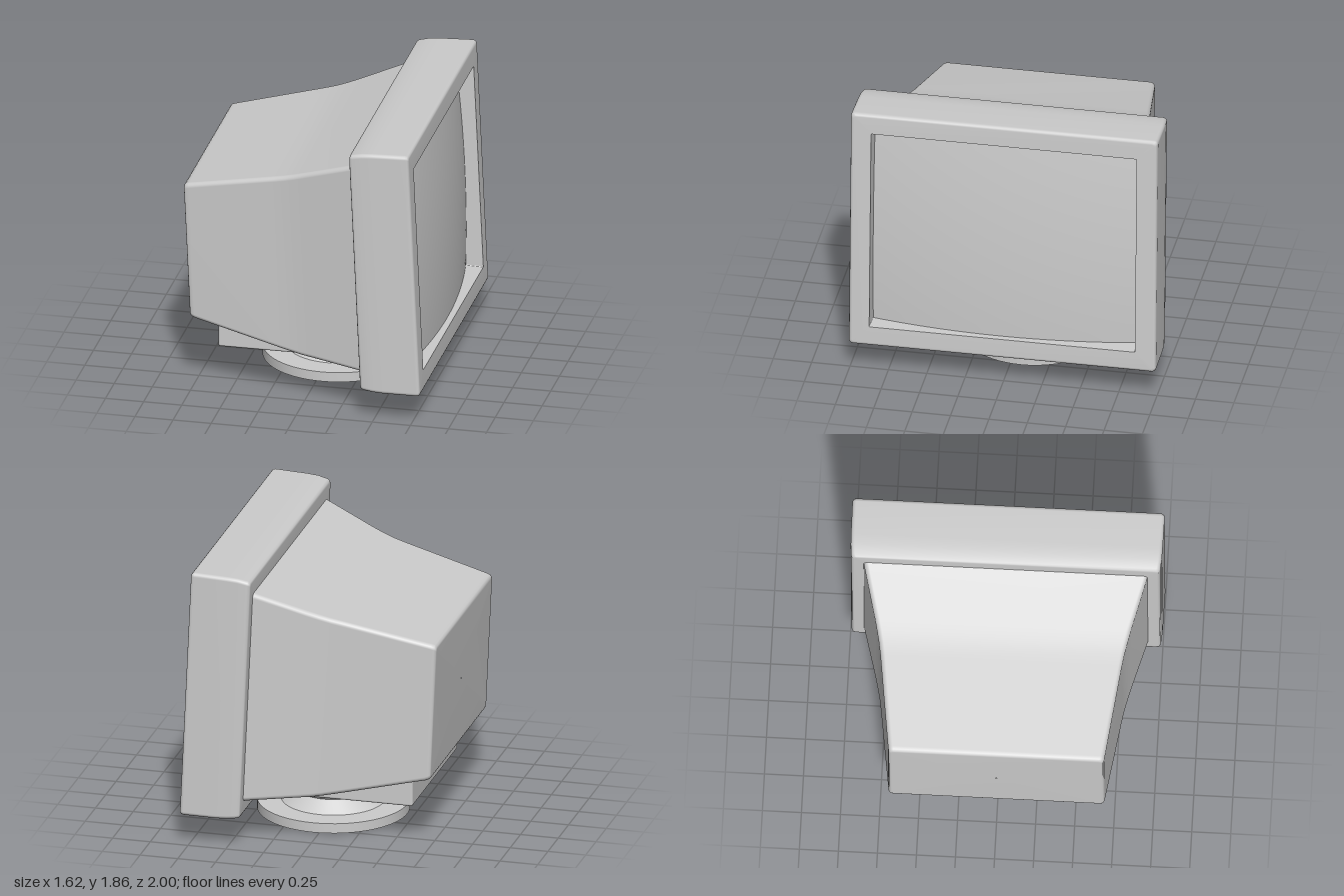
import * as THREE from 'three';
import { toCreasedNormals } from 'three/addons/utils/BufferGeometryUtils.js';
import { RoundedBoxGeometry } from 'three/addons/geometries/RoundedBoxGeometry.js';

const grey = new THREE.MeshStandardMaterial({ color: 0xcccccc });

// The whole housing leans back: x shifts with height.
const lean = (x, y) => x - 0.0455 * (y - 0.2);

// Rounded-rectangle ring in the y-z plane: x, bottom, top, half width, corner radius.
function ring([x, bottom, top, half, r]) {
  const pts = [];
  const steps = 5;
  const corners = [[half - r, top - r], [r - half, top - r], [r - half, bottom + r], [half - r, bottom + r]];
  corners.forEach(([cz, cy], k) => {
    for (let i = 0; i <= steps; i++) {
      const a = (k + i / steps) * Math.PI / 2;
      const y = cy + r * Math.sin(a);
      pts.push([lean(x, y), y, cz + r * Math.cos(a)]);
    }
  });
  return pts;
}

// Skin a list of rings.
function loft(stations) {
  const rings = stations.map(ring);
  const n = rings[0].length;
  const index = [];
  for (let s = 0; s < rings.length - 1; s++) {
    for (let j = 0; j < n; j++) {
      const a = s * n + j, b = s * n + (j + 1) % n;
      index.push(a, a + n, b, b, a + n, b + n);
    }
  }
  const geo = new THREE.BufferGeometry();
  geo.setAttribute('position', new THREE.Float32BufferAttribute(rings.flat(2), 3));
  geo.setIndex(index);
  geo.computeVertexNormals();
  return geo;
}

function add(parent, name, geo) {
  const mesh = new THREE.Mesh(geo, grey);
  mesh.name = name;
  parent.add(mesh);
  return mesh;
}

export function createModel() {
  const model = new THREE.Group();
  model.name = 'monitor';

  // Tapering rear housing, closed and rounded at the back
  add(model, 'rearHousing', loft([
    [-0.757, 0.93, 0.94, 0.006, 0.003],
    [-0.757, 0.502, 1.375, 0.670, 0.02],
    [-0.753, 0.489, 1.390, 0.683, 0.025],
    [-0.742, 0.479, 1.401, 0.690, 0.03],
    [-0.722, 0.472, 1.407, 0.694, 0.03],
    [-0.15, 0.351, 1.535, 0.772, 0.03],
    [-0.07, 0.336, 1.554, 0.785, 0.03],
    [0.00, 0.326, 1.575, 0.800, 0.03],
    [0.08, 0.320, 1.602, 0.819, 0.03],
    [0.45, 0.295, 1.735, 0.918, 0.03],
  ]));

  // Front frame: outer shell, then the recess walls with a sharp inner edge
  const bezel = new THREE.Group();
  bezel.name = 'bezel';
  model.add(bezel);
  add(bezel, 'bezelShell', loft([
    [0.415, 0.33, 1.68, 0.87, 0.02],
    [0.415, 0.223, 1.808, 0.970, 0.02],
    [0.420, 0.212, 1.822, 0.982, 0.022],
    [0.435, 0.206, 1.831, 0.990, 0.025],
    [0.50, 0.199, 1.845, 0.996, 0.025],
    [0.57, 0.196, 1.851, 0.998, 0.025],
    [0.785, 0.199, 1.860, 1.0, 0.025],
    [0.80, 0.203, 1.856, 0.996, 0.022],
    [0.807, 0.211, 1.848, 0.988, 0.02],
    [0.81, 0.222, 1.837, 0.977, 0.015],
    [0.81, 0.335, 1.724, 0.865, 0.006],
  ]));
  add(bezel, 'screenRecess', loft([
    [0.81, 0.335, 1.724, 0.865, 0.006],
    [0.66, 0.342, 1.717, 0.858, 0.006],
  ]));

  // Bulging glass
  const W = 0.865, H = 0.695, midY = 1.03;
  const glass = new THREE.PlaneGeometry(2 * W, 2 * H, 28, 20).rotateY(Math.PI / 2);
  const p = glass.attributes.position;
  for (let i = 0; i < p.count; i++) {
    const y = p.getY(i), z = p.getZ(i);
    const x = 0.795 - 0.075 * (z / W) ** 2 - 0.025 * (y / H) ** 2;
    p.setXYZ(i, lean(x, y + midY), y + midY, z);
  }
  glass.computeVertexNormals();
  add(model, 'screen', glass);

  // Block under the housing
  add(model, 'lowerHousing', new RoundedBoxGeometry(1.06, 0.25, 1.1, 3, 0.015)).position.set(-0.085, 0.36, 0);

  // Round swivel foot
  const profile = [[0, 0], [0.49, 0], [0.49, 0.065], [0.335, 0.065], [0.245, 0.138], [0.3, 0.21], [0.3, 0.25], [0, 0.25]]
    .map(([r, y]) => new THREE.Vector2(r, y));
  const foot = toCreasedNormals(new THREE.LatheGeometry(profile, 64), 0.4);
  add(model, 'swivelFoot', foot).position.set(0.038, 0, -0.07);

  return model;
}
